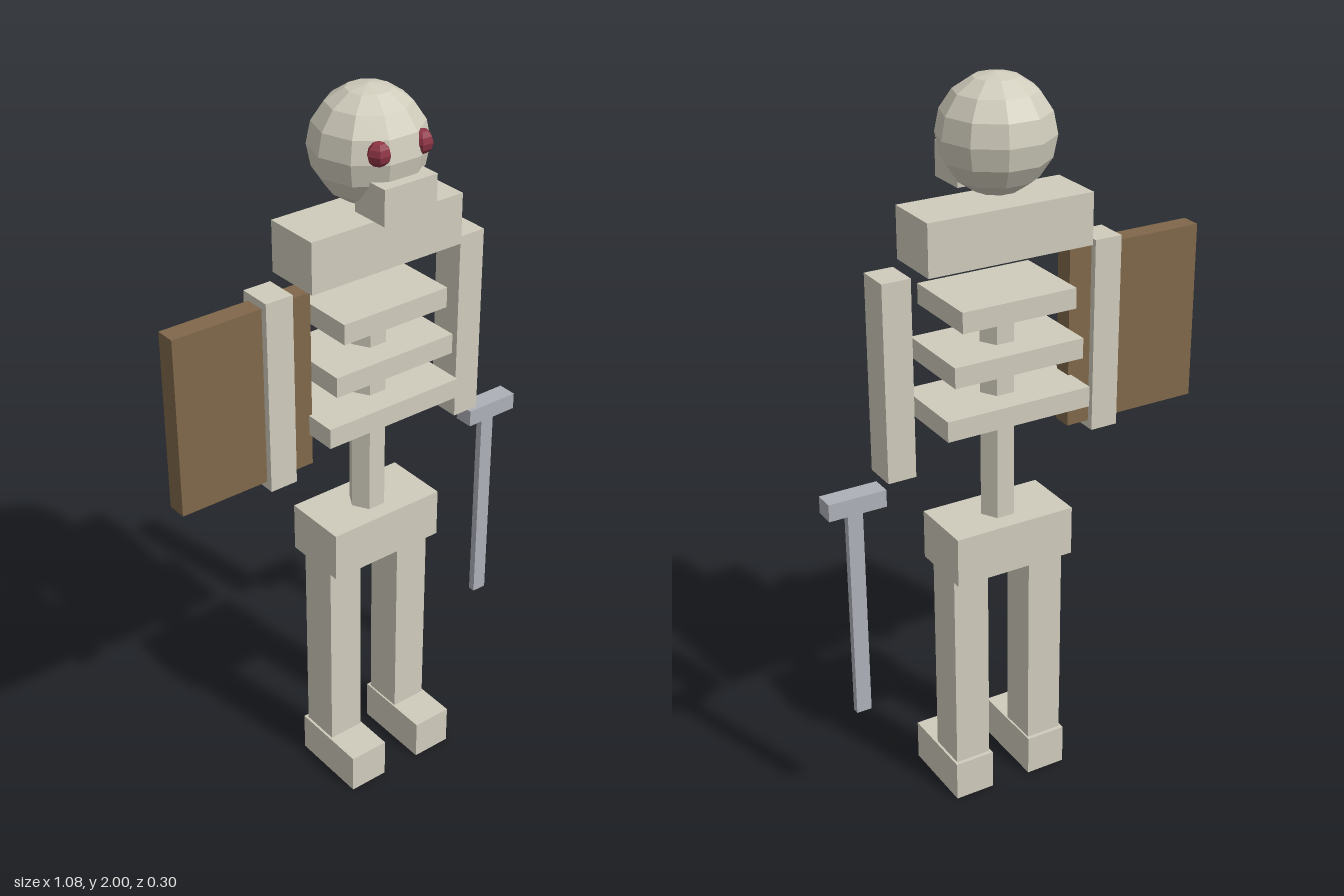
import * as THREE from 'three';

const material = (name, color) => {
  const m = new THREE.MeshStandardMaterial({ color, flatShading: true });
  m.name = name;
  return m;
};

export function createModel() {
  const bone = material('bone', 0xd0ccbc);
  const wood = material('wood', 0x80674a);
  const steel = material('steel', 0xaeb0b9);
  const red = material('eye red', 0x8c3444);

  const model = new THREE.Group();
  model.name = 'skeletonWarrior';

  // The body's own centre line, offset by the shield and sword
  const cx = 0.045, cz = -0.01;
  const body = new THREE.Group();
  body.name = 'body';
  body.position.set(cx, 0, cz);
  model.add(body);

  const add = (name, geometry, mat, x, y, z) => {
    const mesh = new THREE.Mesh(geometry, mat);
    mesh.name = name;
    mesh.position.set(x, y, z);
    body.add(mesh);
    return mesh;
  };
  // Box standing between two heights
  const box = (name, mat, x, z, w, d, y0, y1) =>
    add(name, new THREE.BoxGeometry(w, y1 - y0, d), mat, x, (y0 + y1) / 2, z);

  // Skull and jaw
  add('skull', new THREE.SphereGeometry(0.148, 10, 8), bone, 0, 1.852, 0);
  box('jaw', bone, 0, 0.106, 0.158, 0.112, 1.715, 1.808);

  // Torso
  box('shoulders', bone, 0, 0.002, 0.462, 0.16, 1.553, 1.69);
  [[0.322, 1.411], [0.368, 1.272], [0.412, 1.133]].forEach(([width, y], i) =>
    box(`rib${i + 1}`, bone, 0, 0, width, 0.23, y, y + 0.055));
  const spine = add('spine', new THREE.CylinderGeometry(0.05, 0.05, 0.56, 6), bone, 0, 1.108, 0);
  spine.rotation.y = Math.PI / 2;
  box('hips', bone, 0, -0.002, 0.345, 0.184, 0.7, 0.837);

  // Paired parts
  for (const [side, s] of [['left', 1], ['right', -1]]) {
    add(`${side}Eye`, new THREE.SphereGeometry(0.031, 6, 6), red, s * 0.063, 1.878, 0.118);
    box(`${side}Arm`, bone, s * 0.3, 0, 0.078, 0.092, 1.023, 1.55);
    box(`${side}Leg`, bone, s * 0.114, -0.001, 0.102, 0.112, 0.115, 0.7);
    box(`${side}Foot`, bone, s * 0.115, 0.047, 0.114, 0.23, 0, 0.115);
  }

  // Shield on the right arm
  box('shield', wood, -0.393, 0, 0.392, 0.055, 1.044, 1.53);

  // Sword hanging point down beside the left arm
  box('swordGuard', steel, 0.416, 0, 0.159, 0.055, 0.951, 0.998);
  box('swordBlade', steel, 0.416, 0, 0.042, 0.02, 0.35, 0.951);

  return model;
}
